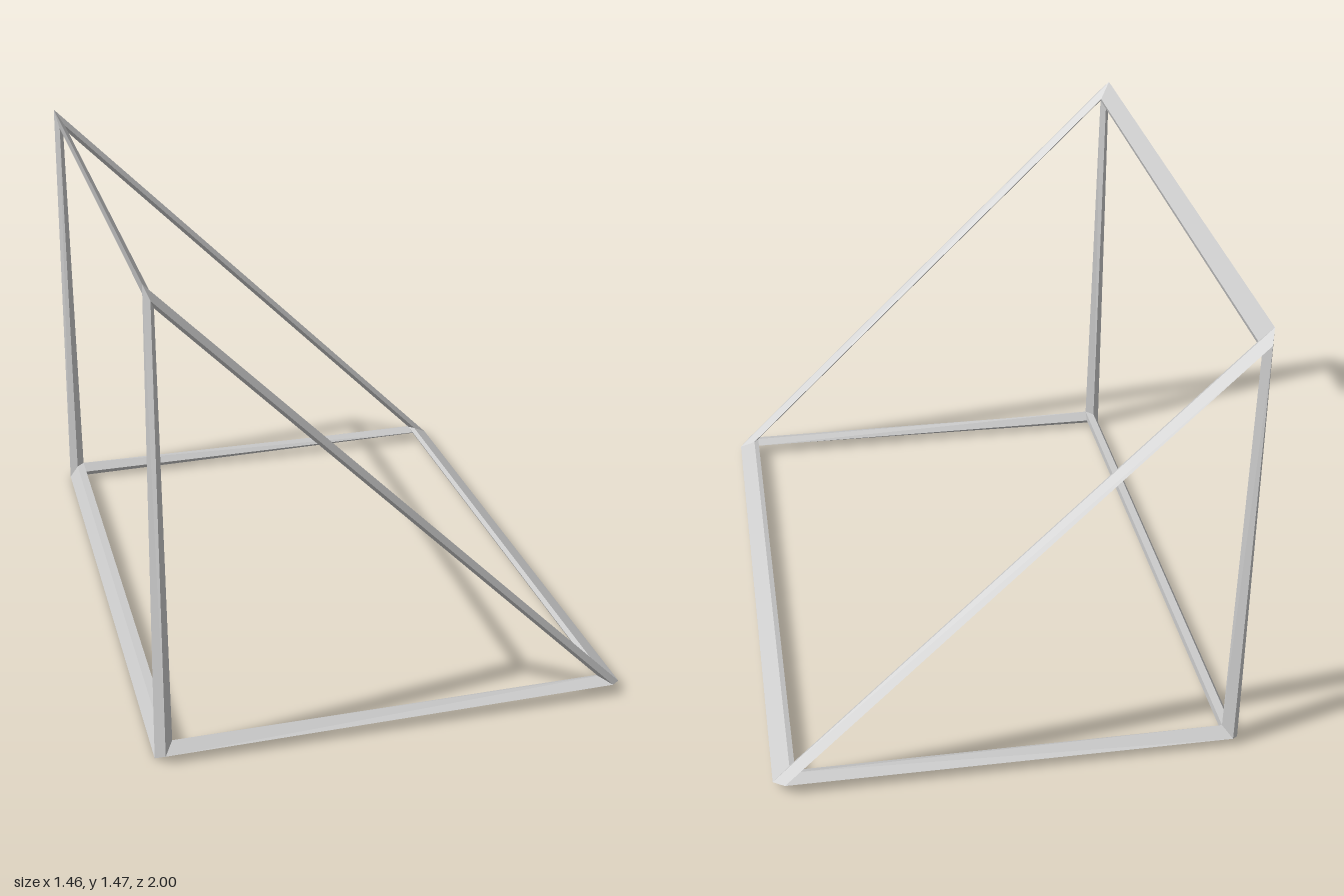
import * as THREE from 'three';

const T = 0.038;   // half thickness of a bar
const Z = 0.962;   // centre line of the end frames
// triangle corners: lower left rear edge, tip, top (counter-clockwise)
const CORNERS = [[-0.703, 0.027], [0.695, 0.04], [-0.695, 1.43]].map(([x, y]) => new THREE.Vector2(x, y));

// the points where the bars join at one corner of one end frame
function joint(i, side) {
  const p = CORNERS[i];
  const toNext = CORNERS[(i + 1) % 3].clone().sub(p).normalize();
  const toPrev = CORNERS[(i + 2) % 3].clone().sub(p).normalize();
  const inward = toNext.clone().add(toPrev).normalize();
  const at = (dir, d, z) => new THREE.Vector3(p.x + dir.x * d, p.y + dir.y * d, side * z);
  const s = T * Math.SQRT1_2;
  return {
    outer: at(inward, -T, Z),
    inner: at(inward, T, Z),
    end: at(inward, 0, Z + T),
    next: at(toNext, s, Z - s),
    prev: at(toPrev, s, Z - s),
  };
}

// four-sided bar between two rings of four points
function bar(name, a, b, material) {
  const mean = (ring) => ring.reduce((m, p) => m.add(p), new THREE.Vector3()).multiplyScalar(0.25);
  const axis = mean(b).sub(mean(a));
  const turn = a[1].clone().sub(a[0]).cross(a[2].clone().sub(a[1])).dot(axis);
  const pos = [];
  for (let k = 0; k < 4; k++) {
    const m = (k + 1) % 4;
    const quad = turn > 0 ? [a[k], a[m], b[m], b[k]] : [a[k], b[k], b[m], a[m]];
    for (const q of [0, 1, 2, 0, 2, 3]) pos.push(...quad[q].toArray());
  }
  const geometry = new THREE.BufferGeometry();
  geometry.setAttribute('position', new THREE.Float32BufferAttribute(pos, 3));
  geometry.computeVertexNormals();
  const mesh = new THREE.Mesh(geometry, material);
  mesh.name = name;
  return mesh;
}

export function createModel() {
  const group = new THREE.Group();
  group.name = 'wedgeFrame';
  const material = new THREE.MeshStandardMaterial({ color: 0xcccccc, flatShading: true });
  const front = [0, 1, 2].map((i) => joint(i, 1));
  const back = [0, 1, 2].map((i) => joint(i, -1));

  // triangular end frames
  const edgeNames = ['BottomBar', 'SlopeBar', 'UprightBar'];
  for (const [end, joints] of [['front', front], ['back', back]]) {
    edgeNames.forEach((name, i) => {
      const a = joints[i], b = joints[(i + 1) % 3];
      group.add(bar(end + name, [a.outer, a.end, a.inner, a.next], [b.outer, b.end, b.inner, b.prev], material));
    });
  }

  // long bars joining the two end frames
  ['lowerLongBar', 'tipLongBar', 'topLongBar'].forEach((name, i) => {
    const ring = (j) => [j.outer, j.next, j.inner, j.prev];
    group.add(bar(name, ring(front[i]), ring(back[i]), material));
  });
  return group;
}
